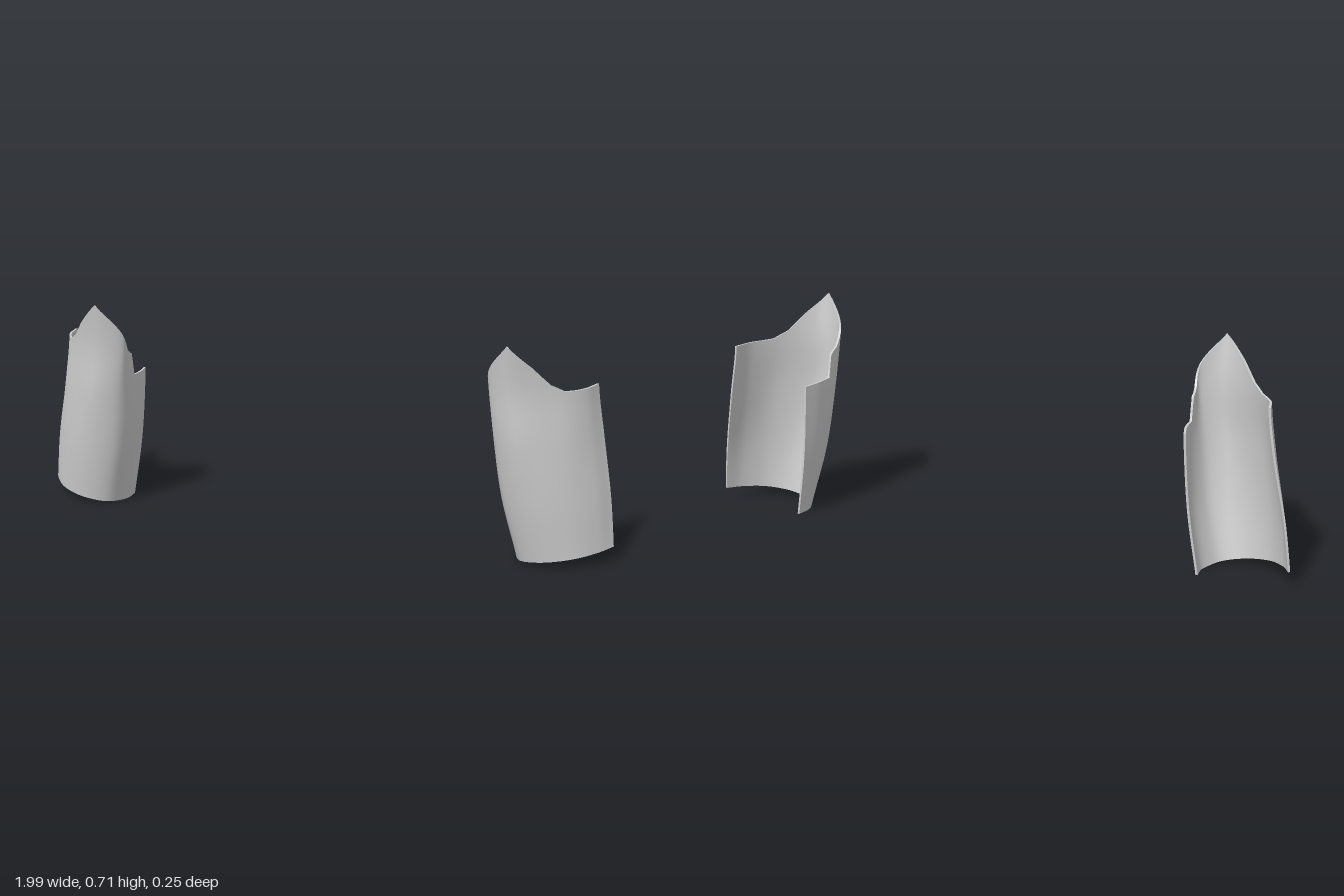
import * as THREE from 'three';

// Cross-sections [x, z] from the inner back edge, round the front, to the outer back edge
const levels = [0, 0.2, 0.4, 0.56, 0.71];
const sections = [
  [[.70, -.115], [.695, -.06], [.71, -.015], [.735, .02], [.78, .038], [.84, .038], [.91, .01], [.965, -.045], [1.0, -.10]],
  [[.67, -.122], [.655, -.06], [.66, 0], [.685, .05], [.745, .075], [.82, .065], [.895, .02], [.95, -.045], [.978, -.112]],
  [[.655, -.126], [.637, -.06], [.635, .01], [.655, .068], [.72, .10], [.79, .08], [.87, .025], [.92, -.05], [.943, -.127]],
  [[.65, -.125], [.635, -.06], [.63, .015], [.632, .07], [.70, .104], [.775, .08], [.85, .02], [.90, -.05], [.92, -.125]],
  [[.65, -.125], [.635, -.06], [.625, .02], [.622, .08], [.70, .125], [.775, .09], [.845, .02], [.90, -.05], [.92, -.125]],
];
// Top edge as [section position, height]: low inner flap, notch, pointed front, flat outer side
const topEdge = [[0, .45], [1.7, .455], [1.9, .53], [2.4, .55], [3, .61], [4, .71], [5, .64], [5.6, .585], [6.1, .562], [6.5, .56], [8, .56]];

const COLS = 80, ROWS = 24, THICK = 0.007;

// Smooth interpolation through values at uneven positions
function smooth(xs, ys, x) {
  const n = xs.length;
  let i = 0;
  while (i < n - 2 && x > xs[i + 1]) i++;
  const slope = (k) => {
    const a = Math.max(k - 1, 0), b = Math.min(k + 1, n - 1);
    return (ys[b] - ys[a]) / (xs[b] - xs[a]);
  };
  const h = xs[i + 1] - xs[i], t = (x - xs[i]) / h, t2 = t * t, t3 = t2 * t;
  return (2 * t3 - 3 * t2 + 1) * ys[i] + (t3 - 2 * t2 + t) * h * slope(i)
    + (3 * t2 - 2 * t3) * ys[i + 1] + (t3 - t2) * h * slope(i + 1);
}

function heightOfTop(u) {
  let i = 0;
  while (i < topEdge.length - 2 && u > topEdge[i + 1][0]) i++;
  const [u0, y0] = topEdge[i], [u1, y1] = topEdge[i + 1];
  return THREE.MathUtils.lerp(y0, y1, (u - u0) / (u1 - u0));
}

const knots = sections[0].map((_, i) => i);
function surfacePoint(u, y) {
  const at = (axis) => smooth(levels, sections.map((s) => smooth(knots, s.map((p) => p[axis]), u)), y);
  return new THREE.Vector3(at(0), y, at(1));
}

// Grids of points for the outer skin and the skin offset inwards
function makeSkins() {
  const outer = [], inner = [], e = 0.01;
  for (let c = 0; c <= COLS; c++) {
    const u = (c / COLS) * 8;
    const low = Math.max(0, (surfacePoint(u, 0).x - 0.70) / 6), high = heightOfTop(u);
    outer.push([]);
    inner.push([]);
    for (let r = 0; r <= ROWS; r++) {
      const y = THREE.MathUtils.lerp(low, high, r / ROWS);
      const p = surfacePoint(u, y);
      const du = surfacePoint(Math.min(u + e, 8), y).sub(surfacePoint(Math.max(u - e, 0), y));
      const dy = surfacePoint(u, Math.min(y + e, .71)).sub(surfacePoint(u, Math.max(y - e, 0)));
      const n = du.cross(dy).setY(0).normalize();
      outer[c].push(p);
      inner[c].push(p.clone().addScaledVector(n, -THICK));
    }
  }
  return { outer, inner };
}

// Smooth sheet through a grid of points, mirrored for side = -1
function sheet(grid, side, flip = false) {
  const pos = [], index = [], rows = grid[0].length;
  for (const col of grid) for (const p of col) pos.push(p.x * side, p.y, p.z);
  const reverse = flip !== (side < 0);
  for (let c = 0; c < grid.length - 1; c++) {
    for (let r = 0; r < rows - 1; r++) {
      const a = c * rows + r, b = a + rows;
      if (reverse) index.push(a, b + 1, b, a, a + 1, b + 1);
      else index.push(a, b, b + 1, a, b + 1, a + 1);
    }
  }
  const g = new THREE.BufferGeometry();
  g.setAttribute('position', new THREE.Float32BufferAttribute(pos, 3));
  g.setIndex(index);
  g.computeVertexNormals();
  return g;
}

export function createModel() {
  const model = new THREE.Group();
  model.name = 'shinGuards';
  const plate = new THREE.MeshStandardMaterial({ color: 0xcccccc, side: THREE.DoubleSide });
  plate.name = 'light grey';

  const { outer, inner } = makeSkins();
  const strip = (pick) => outer.map((col, c) => [pick(col), pick(inner[c])]);
  const backEdge = (c) => outer[c].map((p, r) => [p, inner[c][r]]);

  for (const [name, side] of [['leftGuard', 1], ['rightGuard', -1]]) {
    const guard = new THREE.Group();
    guard.name = name;
    const add = (part, geometry) => {
      const mesh = new THREE.Mesh(geometry, plate);
      mesh.name = part;
      guard.add(mesh);
    };
    add('outerSkin', sheet(outer, side));
    add('innerSkin', sheet(inner, side, true));
    // Rims closing the thickness of the plate
    add('topRim', sheet(strip((col) => col[ROWS]), side));
    add('bottomRim', sheet(strip((col) => col[0]), side, true));
    add('innerBackRim', sheet(backEdge(0), side, true));
    add('outerBackRim', sheet(backEdge(COLS), side));
    model.add(guard);
  }
  return model;
}
